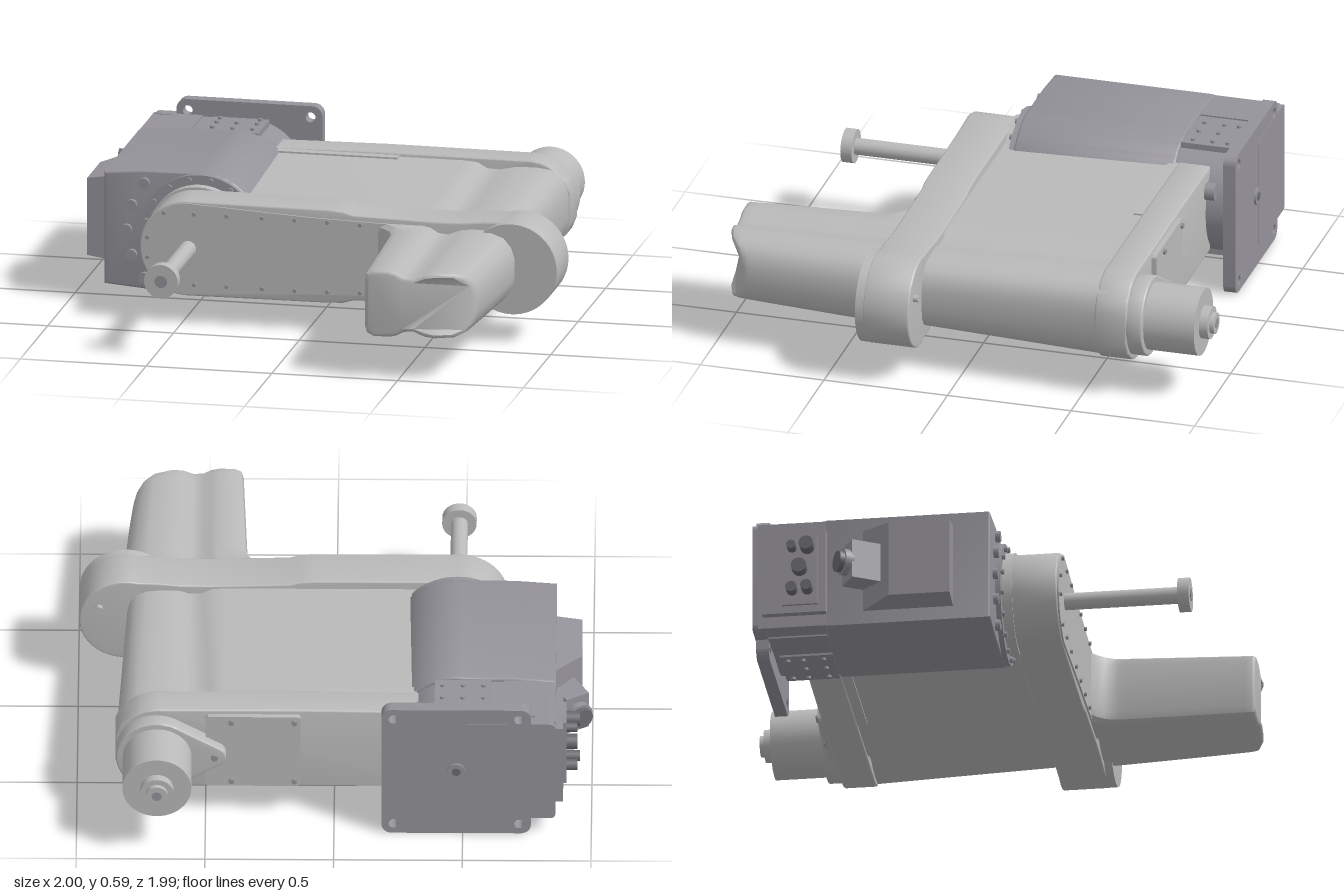
import * as THREE from 'three';
import { toCreasedNormals } from 'three/addons/utils/BufferGeometryUtils.js';

const CY = 0.305; // height of the symmetry plane
const mat = (name, color) => {
  const m = new THREE.MeshStandardMaterial({ color });
  m.name = name;
  return m;
};

// Points of an arc as [x, half height], angles in degrees
function arc(cx, r, a0, a1, n = 14) {
  return Array.from({ length: n + 1 }, (_, i) => {
    const a = THREE.MathUtils.degToRad(a0 + (a1 - a0) * i / n);
    return [cx + r * Math.cos(a), r * Math.sin(a)];
  });
}

// Closed outline mirrored above and below the symmetry plane
function outline(top) {
  const below = top.filter(p => p[1] > 0.001).reverse().map(([x, h]) => [x, -h]);
  return new THREE.Shape([...top, ...below].map(([x, h]) => new THREE.Vector2(x, CY + h)));
}

function roundRect(x0, y0, x1, y1, r) {
  const s = new THREE.Shape();
  s.absarc(x1 - r, y1 - r, r, 0, Math.PI / 2);
  s.absarc(x0 + r, y1 - r, r, Math.PI / 2, Math.PI);
  s.absarc(x0 + r, y0 + r, r, Math.PI, Math.PI * 1.5);
  s.absarc(x1 - r, y0 + r, r, Math.PI * 1.5, Math.PI * 2);
  return s;
}

export function createModel() {
  const model = new THREE.Group();
  const light = mat('light grey arm', 0xbababa);
  const dark = mat('dark grey base', 0x95939a);
  const black = mat('connector grey', 0x6c6b70);

  const add = (name, geo, m, parent = model) => {
    const mesh = new THREE.Mesh(geo, m);
    mesh.name = name;
    parent.add(mesh);
    return mesh;
  };
  // Extrusion from z0 to z1 with an optional bevel and vertex rule
  function slab(name, shape, z0, z1, m, { bevel = 0, steps = 1, rule } = {}) {
    let g = new THREE.ExtrudeGeometry(shape, {
      depth: z1 - z0 - 2 * bevel, steps, curveSegments: 10, bevelEnabled: bevel > 0,
      bevelSize: bevel, bevelOffset: -bevel, bevelThickness: bevel, bevelSegments: 3,
    });
    g.translate(0, 0, z0 + bevel);
    if (rule) {
      const p = g.attributes.position, v = new THREE.Vector3();
      for (let i = 0; i < p.count; i++) {
        rule(v.fromBufferAttribute(p, i));
        p.setXYZ(i, v.x, v.y, v.z);
      }
    }
    g = toCreasedNormals(g, 0.6);
    return add(name, g, m);
  }
  // Cylinder along z
  function rod(name, x, y, z0, z1, r, m, parent = model, sides = 36) {
    const g = new THREE.CylinderGeometry(r, r, z1 - z0, sides).rotateX(Math.PI / 2);
    const mesh = add(name, g, m, parent);
    mesh.position.set(x, y, (z0 + z1) / 2);
    return mesh;
  }
  function box(name, x0, x1, y0, y1, z0, z1, m, parent = model) {
    const mesh = add(name, new THREE.BoxGeometry(x1 - x0, y1 - y0, z1 - z0), m, parent);
    mesh.position.set((x0 + x1) / 2, (y0 + y1) / 2, (z0 + z1) / 2);
    return mesh;
  }

  // Base body: half-round on the arm side, flat on the connector side
  slab('baseBody', outline([[-0.86, 0.225], [-0.7, 0.238], ...arc(-0.475, 0.242, 98, 0, 24)]),
    -0.54, 0.11, dark, { bevel: 0.008 });
  slab('baseRear', outline([[-0.86, 0.222], [-0.7, 0.224], ...arc(-0.475, 0.225, 98, 0, 24)]),
    -0.8, -0.53, dark);
  rod('baseRim', -0.475, CY, 0.1, 0.13, 0.238, dark, model, 48);
  rod('jointRing', -0.475, CY, 0.12, 0.17, 0.2, light, model, 48);
  for (let i = 0; i < 16; i++) {
    const a = (i + 0.5) * Math.PI / 8;
    rod('rimBolt', -0.475 + 0.22 * Math.cos(a), CY + 0.22 * Math.sin(a), 0.13, 0.142, 0.011, dark, model, 10);
  }
  for (const [x, h] of [[-0.7, 0.19], [-0.75, 0.1], [-0.77, 0]])
    for (const s of h ? [1, -1] : [1]) rod('baseBolt', x, CY + s * h, 0.105, 0.13, 0.022, dark, model, 12);

  // Mounting flange with four holes
  const flange = roundRect(-0.765, 0.005, -0.185, 0.595, 0.04);
  for (const x of [-0.72, -0.232]) for (const y of [0.05, 0.55])
    flange.holes.push(new THREE.Path().absarc(x, y, 0.02, 0, Math.PI * 2, true));
  slab('mountFlange', flange, -0.82, -0.77, dark);
  slab('flangeSide', roundRect(-0.86, 0.08, -0.5, 0.53, 0.02), -0.822, -0.77, dark);
  rod('flangeBoss', -0.475, CY, -0.828, -0.8, 0.035, dark);
  rod('flangeBossCentre', -0.475, CY, -0.831, -0.8, 0.017, black);

  // Bolted covers and side panels above and below the base
  for (const s of [1, -1]) {
    const ys = h => CY + s * h;
    const pad = add('accessCover', new THREE.BoxGeometry(0.22, 0.04, 0.21), dark);
    pad.position.set(-0.5, ys(0.212), -0.645);
    const panel = add('sidePanel', new THREE.BoxGeometry(0.12, 0.009, 0.25), dark);
    panel.position.set(-0.72, ys(0.225), -0.645);
    for (const x of [-0.58, -0.5, -0.42]) for (const z of [-0.72, -0.66, -0.58]) {
      if (x === -0.5 && z === -0.72) continue;
      const b = add('coverBolt', new THREE.CylinderGeometry(0.009, 0.009, 0.012, 10), dark);
      b.position.set(x, ys(0.236), z);
    }
  }

  // Cable box, angled connector and socket panel on the base side
  slab('cableBox', outline([[-0.96, 0.155], [-0.85, 0.172]]), -0.4, -0.035, dark, {
    rule: v => { if (v.z < -0.2) v.z += Math.max(0, -0.86 - v.x) * 1.25; },
  });
  const plug = new THREE.Group();
  plug.name = 'angledConnector';
  plug.position.set(-0.9, CY, -0.36);
  plug.rotation.y = 0.52;
  model.add(plug);
  box('connectorHousing', -0.05, 0.05, -0.08, 0.08, -0.09, 0.06, dark, plug);
  rod('connectorCollar', 0, 0, -0.115, -0.08, 0.052, dark, plug);
  rod('connectorCap', 0, 0, -0.135, -0.1, 0.042, black, plug);
  box('socketPanel', -0.89, -0.85, 0.13, 0.48, -0.78, -0.53, dark);
  box('socketPlate', -0.902, -0.88, 0.16, 0.45, -0.7, -0.56, dark);
  for (const [y, z, r, l] of [[0.4, -0.6, 0.028, 0.06], [0.4, -0.66, 0.018, 0.05], [0.31, -0.63, 0.03, 0.05],
    [0.22, -0.6, 0.022, 0.06], [0.22, -0.66, 0.022, 0.05]]) {
    const c = add('socket', new THREE.CylinderGeometry(r, r, l, 20).rotateZ(Math.PI / 2), black);
    c.position.set(-0.895 - l / 2, y, z);
  }

  // Main arm housing with a shallow lengthwise groove, widening to the rear
  const ridge = [[0.43, 0.162], [0.48, 0.158], [0.52, 0.137], [0.57, 0.135], [0.62, 0.149], [0.7, 0.15]];
  slab('armHousing', outline([[-0.34, 0.162], ...ridge, [0.75, 0.144], [0.79, 0.125], [0.815, 0.09], [0.825, 0.04]]),
    -0.6, 0.18, light, {
      rule: v => {
        const t = (0.18 - v.z) / 0.78;
        v.y = CY + (v.y - CY) * (0.95 + 0.1 * t);
        if (v.x > 0.6) v.x += 0.035 * t - 0.015;
      },
    });
  // Rear rim, its back covers and the motor
  slab('rearRim', outline([[-0.32, 0.178], [0.1, 0.184], ...arc(0.68, 0.183, 95, 60, 5), [0.83, 0.11], [0.85, 0.06]]),
    -0.68, -0.55, light, { bevel: 0.008 });
  slab('rearRimStep', outline([[-0.32, 0.175], [0.17, 0.175]]), -0.58, -0.51, light);
  slab('rearCover', roundRect(0.13, 0.14, 0.5, 0.47, 0.015), -0.7, -0.67, light);
  for (const x of [0.155, 0.4]) for (const y of [0.165, 0.445])
    rod('rearCoverBolt', x, y, -0.71, -0.69, 0.011, dark, model, 10);
  slab('motorMount', outline([...arc(0.465, 0.045, 180, 130, 5), ...arc(0.69, 0.158, 125, 0, 18)]),
    -0.74, -0.67, light, { bevel: 0.006 });
  rod('motorMountBolt', 0.465, CY, -0.75, -0.73, 0.014, dark, model, 10);
  rod('motorBody', 0.687, CY, -0.945, -0.73, 0.134, light, model, 48);
  rod('motorHub', 0.687, CY, -0.98, -0.94, 0.065, light);
  rod('motorHubCap', 0.687, CY, -0.998, -0.97, 0.042, light);
  rod('motorShaftEnd', 0.687, CY, -1, -0.99, 0.02, dark);
  rod('rearStud', -0.26, CY + 0.1, -0.72, -0.67, 0.035, dark, model, 16);

  // Cross arm: rounded at both ends, waisted between
  slab('crossArm', outline([...arc(-0.478, 0.19, 180, 90), [0.08, 0.187], [0.14, 0.184], [0.18, 0.172], [0.5, 0.164],
    [0.6, 0.165], [0.7, 0.175], ...arc(0.816, 0.182, 105, 0, 20)]), 0.16, 0.345, light, { bevel: 0.006 });
  slab('crossArmCover', outline([...arc(-0.478, 0.183, 180, 90), [-0.3, 0.172], [0, 0.155], [0.3, 0.146],
    [0.35, 0.146]]), 0.33, 0.352, light);
  rod('endLobe', 0.816, CY, 0.17, 0.376, 0.181, light, model, 56);
  rod('lobeScrew', 0.92, CY + 0.06, 0.14, 0.17, 0.014, light, model, 12);
  for (const s of [1, -1]) {
    for (const x of [-0.57, -0.45, -0.32, -0.18, -0.05, 0.08, 0.21])
      rod('coverScrew', x, CY + s * (0.142 - 0.025 * Math.max(0, x)), 0.35, 0.362, 0.008, dark, model, 10);
    rod('coverScrew', -0.635, CY + s * 0.04, 0.35, 0.362, 0.008, dark, model, 10);
  }

  // Forward nose: grooved section, flared into the cross arm and rounded at the tip
  slab('nose', outline([[0.34, 0.1], [0.347, 0.128], [0.375, 0.143], [0.46, 0.143], [0.49, 0.136], [0.52, 0.118],
    [0.56, 0.115], [0.61, 0.134], [0.66, 0.14], [0.74, 0.138], [0.79, 0.12], [0.82, 0.085], [0.835, 0.04]]),
    0.3, 0.985, light, {
      bevel: 0.015, steps: 24,
      rule: v => {
        const t = (v.z - 0.3) / 0.685;
        v.y = CY + (v.y - CY) * (1.03 - 0.1 * t);
        if (v.x < 0.42) v.x += 0.025 * t - 0.16 * Math.max(0, (0.46 - v.z) / 0.16) ** 2.5;
        if (v.x > 0.55) {
          const k = (v.x - 0.55) / 0.285;
          v.x -= 0.045 * t * k;
          v.z -= 0.1 * t ** 3 * k ** 3;
        }
      },
    });

  // Tool rod with its end collar
  rod('toolRod', -0.475, CY, 0.34, 0.81, 0.033, light);
  rod('toolRodCollar', -0.475, CY, 0.8, 0.845, 0.067, light, model, 32);
  rod('toolRodBore', -0.475, CY, 0.84, 0.848, 0.025, dark, model, 20);
  return model;
}
